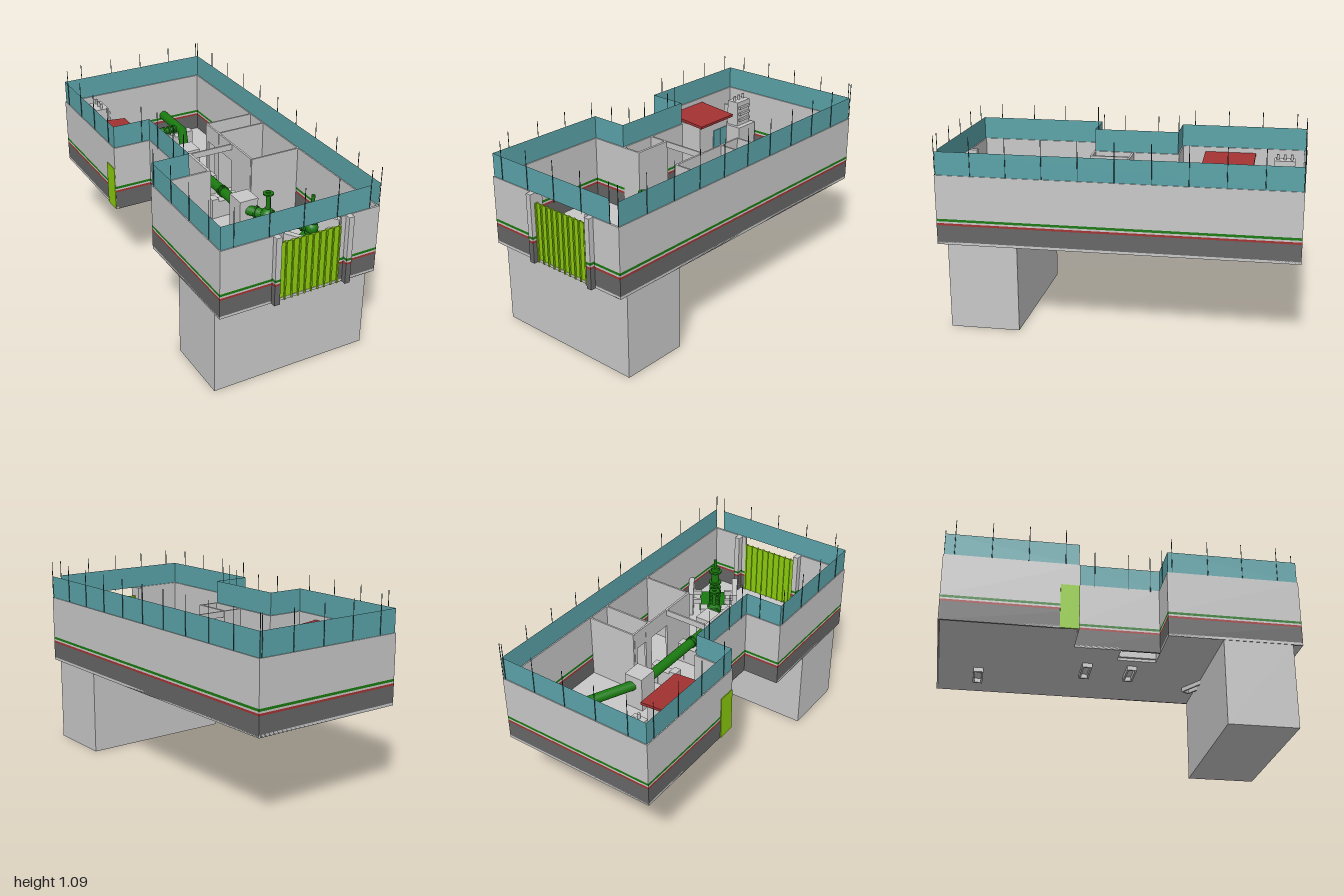
import * as THREE from 'three';

const mat = (name, color, side = THREE.FrontSide) => {
  const m = new THREE.MeshStandardMaterial({ color, side });
  m.name = name;
  return m;
};

export function createModel() {
  const concrete = mat('concrete', 0xc8c8c8), dark = mat('plinth', 0x666666);
  const red = mat('red', 0xa33232), green = mat('pipeGreen', 0x1a7a10);
  const lime = mat('gateLime', 0x8ccb0d), glass = mat('tealScreen', 0x5aa3a8, THREE.DoubleSide);
  const steel = mat('darkSteel', 0x2f4f52);
  const model = new THREE.Group();
  model.name = 'pumpStation';

  const add = (name, geo, m, parent = model) => {
    const mesh = new THREE.Mesh(geo, m);
    mesh.name = name;
    parent.add(mesh);
    return mesh;
  };
  // Box given by its limits
  const box = (name, m, x0, x1, y0, y1, z0, z1, parent = model) => {
    const b = add(name, new THREE.BoxGeometry(x1 - x0, y1 - y0, z1 - z0), m, parent);
    b.position.set((x0 + x1) / 2, (y0 + y1) / 2, (z0 + z1) / 2);
    return b;
  };
  // Cylinder between two points
  const rod = (name, m, a, b, r, parent = model, seg = 20) => {
    const p = new THREE.Vector3(...a), q = new THREE.Vector3(...b), d = q.clone().sub(p);
    const c = add(name, new THREE.CylinderGeometry(r, r, d.length(), seg), m, parent);
    c.position.copy(p).add(q).multiplyScalar(0.5);
    c.quaternion.setFromUnitVectors(new THREE.Vector3(0, 1, 0), d.normalize());
    return c;
  };
  const ball = (name, p, r, parent = model) =>
    add(name, new THREE.SphereGeometry(r, 20, 14), green, parent).position.set(...p);

  const Y0 = 0.485, Y1 = 0.875, T = 0.012;

  // Foundation block and floor, with a raised slab in the small closet
  box('foundation', concrete, -0.457, 0.45, 0, Y0, 0.525, 0.915);
  [[-0.46, -1, -0.26], [-0.24, -0.26, 0], [-0.11, 0, 0.22], [-0.46, 0.22, 0.97]].forEach(([x, a, b]) =>
    box('floor', concrete, x, 0.46, Y0, 0.5, a, b));
  box('closetSlab', concrete, -0.23, -0.115, 0.605, 0.62, 0.005, 0.215);

  // Outer walls stacked in coloured bands
  const bands = [[0.485, 0.594, dark], [0.594, 0.606, red], [0.606, 0.616, concrete],
    [0.616, 0.63, green], [0.63, Y1, concrete]];
  const wall = (x0, x1, z0, z1, lift = 0) => {
    const g = new THREE.Group();
    g.name = 'outerWall';
    bands.forEach(([a, b, m], i) => box('wallBand', m, x0, x1, i ? a + lift : a, i < 4 ? b + lift : b, z0, z1, g));
    model.add(g);
  };
  wall(0.46 - T, 0.46, -1, 0.97);
  wall(-0.46, 0.46 - T, -1, -1 + T);
  wall(-0.46, -0.46 + T, -1 + T, -0.26);
  wall(-0.46 + T, -0.24 + T, -0.26 - T, -0.26);
  wall(-0.24, -0.24 + T, -0.26, 0.22);
  wall(-0.46, -0.24 + T, 0.22, 0.22 + T);
  wall(-0.46, -0.46 + T, 0.22 + T, 0.97);
  wall(-0.46 + T, -0.135, 0.97 - T, 0.97);
  wall(0.228, 0.46 - T, 0.97 - T, 0.97);

  // Gate pillars, ribbed gate and side door
  wall(-0.167, -0.135, 0.92, 1, 0.006);
  wall(0.255, 0.286, 0.92, 1, 0.006);
  box('gatePanel', lime, -0.133, 0.228, Y0, 0.822, 0.962, 0.968);
  for (let i = 0; i <= 9; i++) {
    const x = -0.129 + i * 0.0392;
    box('gateRib', lime, x - 0.004, x + 0.004, Y0, 0.822, 0.956, 0.976);
  }
  box('sideDoor', lime, -0.464, -0.458, Y0, 0.745, -0.365, -0.262);

  // Screen on top of the walls, with poles
  const screen = (x0, z0, x1, z1) => {
    const s = add('screen', new THREE.PlaneGeometry(Math.hypot(x1 - x0, z1 - z0), 0.13), glass);
    s.position.set((x0 + x1) / 2, 0.94, (z0 + z1) / 2);
    s.rotation.y = -Math.atan2(z1 - z0, x1 - x0);
  };
  const e = 0.455;
  const path = [[0.4, 0.965], [-e, 0.965], [-e, 0.225], [-0.236, 0.225], [-0.236, -0.265], [-e, -0.265],
    [-e, -0.995], [e, -0.995], [e, 0.965]];
  for (let i = 1; i < path.length; i++) screen(...path[i - 1], ...path[i]);
  const pole = (x, z) => rod('screenPole', steel, [x, Y1 - 0.01, z], [x, 1.092, z], 0.002, model, 6);
  for (let i = 0; i < 5; i++) {
    pole(-0.385 + i * 0.196, 0.967);
    pole(-0.345 + i * 0.197, -0.997);
  }
  for (let i = 0; i < 11; i++) pole(0.457, 0.967 - i * 0.1965);
  [0.853, 0.65, 0.453, 0.25, -0.34, -0.54, -0.74, -0.94].forEach(z => pole(-0.457, z));
  [0.17, 0.045, -0.15].forEach(z => pole(-0.24, z));
  pole(-0.325, 0.222);
  pole(-0.285, -0.262);

  // Inner partitions
  box('closetWall', concrete, -0.125, -0.11, 0.5, Y1, 0, 0.232);
  box('closetFront', concrete, -0.228, -0.125, 0.5, Y1, 0.22, 0.232);
  box('closetBack', concrete, -0.228, -0.11, 0.5, Y1, -0.006, 0.006);
  box('passageBeam', concrete, -0.11, 0.15, 0.84, Y1, -0.005, 0.005);
  [-0.31, -0.165, 0.214].forEach(z => box('roomWall', concrete, 0.15, 0.448, 0.5, Y1, z, z + 0.01));
  [[-0.3, -0.28], [-0.2, -0.15], [0, 0.214]].forEach(([a, b]) =>
    box('roomSideWall', concrete, 0.148, 0.16, 0.5, Y1, a, b));
  box('roomLintel', concrete, 0.149, 0.159, 0.77, Y1, -0.3, 0.2);

  // Hut with a sloping red roof and teal door panes
  box('hut', concrete, -0.43, -0.22, 0.5, 0.81, -0.68, -0.42);
  const roof = box('hutRoof', red, -0.45, -0.197, 0.82, 0.836, -0.705, -0.405);
  roof.rotation.z = -0.09;
  [-0.665, -0.6].forEach(z => box('hutPane', glass, -0.221, -0.215, 0.56, 0.755, z, z + 0.055));

  // Electrical unit on a pedestal
  box('pedestal', concrete, -0.385, -0.218, 0.5, 0.7, -0.96, -0.8);
  box('cabinet', concrete, -0.33, -0.25, 0.7, 0.855, -0.94, -0.82);
  for (let i = 0; i < 3; i++) {
    const z = -0.92 + i * 0.04;
    rod('bushing', concrete, [-0.29, 0.855, z], [-0.29, 0.885, z], 0.008, model, 10);
    box('coolingFin', concrete, -0.37, -0.33, 0.71, 0.82, z - 0.01, z + 0.01);
    box('cabinetShelf', concrete, -0.25, -0.235, 0.73 + i * 0.04, 0.745 + i * 0.04, -0.93, -0.83);
  }

  // Main pipe and the chambers it passes through
  const py = 0.645, R = 0.028;
  const run = [[0.2, py, -0.995], [0.2, py, -0.72], [0.065, py, -0.42]];
  for (let i = 1; i < run.length; i++) rod('pipe', green, run[i - 1], run[i], R);
  ball('pipeBend', run[1], R);
  rod('pipe', green, [0.042, py, -0.33], [0.042, py, 0.25], R);
  add('outletRing', new THREE.TorusGeometry(0.028, 0.005, 8, 28), green).position.set(0.2, py, -0.995);
  box('chamber', concrete, 0.003, 0.116, 0.5, 0.71, -0.437, -0.322);
  box('chamber', concrete, 0.003, 0.116, 0.5, 0.71, 0.242, 0.358);

  // Flanged fittings spaced along a line
  const flanges = (a, b, n, r) => {
    const p = new THREE.Vector3(...a), d = new THREE.Vector3(...b).sub(p);
    const h = d.clone().normalize().multiplyScalar(0.005);
    for (let i = 0; i < n; i++) {
      const c = p.clone().addScaledVector(d, n > 1 ? i / (n - 1) : 0.5);
      rod('flange', green, c.clone().sub(h).toArray(), c.clone().add(h).toArray(), r);
    }
  };
  rod('branchPipe', green, [0.03, py, -0.765], [0.2, py, -0.765], 0.018);
  flanges([0.03, py, -0.765], [0.16, py, -0.765], 5, 0.028);
  ball('branchValve', [0.08, py, -0.765], 0.026);
  flanges([0.042, py, 0.085], [0.042, py, 0.105], 2, 0.033);

  // Pump intake line running diagonally to the pump
  const dx = 0.535, dz = 0.845, A = [0.06, 0.345];
  const at = (s, y = py) => [A[0] + dx * s, y, A[1] + dz * s];
  rod('intakePipe', green, at(0), at(0.38), R);
  flanges(at(0.05), at(0.33), 7, 0.035);
  ball('valveBody', at(0.12), 0.043);
  rod('valveStem', green, at(0.12), at(0.12, 0.79), 0.012);
  rod('valveWheel', green, at(0.12, 0.775), at(0.12, 0.783), 0.03);
  ball('pumpElbow', at(0.38), 0.036);
  rod('pumpRiser', green, at(0.38, 0.5), at(0.38, 0.79), 0.024);
  flanges(at(0.38, 0.54), at(0.38, 0.76), 4, 0.038);
  rod('pumpStem', green, at(0.38, 0.79), at(0.38, 0.84), 0.01);

  // Pump base between two upright slabs
  const pump = new THREE.Group();
  pump.name = 'pumpBase';
  pump.position.set(0.275, 0, 0.66);
  pump.rotation.y = Math.atan2(dx, dz);
  model.add(pump);
  box('pumpPlate', green, -0.08, 0.08, 0.53, 0.56, -0.085, 0.085, pump);
  [-1, 1].forEach(s => {
    const c = s * 0.135;
    box('pumpSlab', concrete, c - 0.016, c + 0.016, 0.5, 0.65, -0.1, 0.1, pump);
    [-0.05, 0.05].forEach(z => box('slabLug', concrete, s * 0.1 - 0.03, s * 0.1 + 0.03, 0.56, 0.59, z - 0.01, z + 0.01, pump));
  });

  // Pipe cradles: two posts, with a hollow footing below the floor
  const cradle = (x, z, angle = 0) => {
    const g = new THREE.Group();
    g.name = 'pipeCradle';
    g.position.set(x, 0, z);
    g.rotation.y = angle;
    [-1, 1].forEach(s => {
      box('cradlePost', concrete, s * 0.062 - 0.021, s * 0.062 + 0.021, 0.5, 0.62, -0.027, 0.027, g);
      box('footingSide', concrete, -0.083, 0.083, 0.46, Y0, s * 0.023 - 0.005, s * 0.023 + 0.005, g);
      box('footingEnd', concrete, s * 0.077 - 0.006, s * 0.077 + 0.006, 0.46, Y0, -0.018, 0.018, g);
    });
    box('cradleSeat', concrete, -0.045, 0.045, 0.5, 0.6, -0.025, 0.025, g);
    model.add(g);
  };
  cradle(0.042, -0.16);
  cradle(0.042, 0.097);
  cradle(0.2, -0.765);
  cradle(0.165, 0.51, Math.atan2(dx, dz));
  return model;
}
